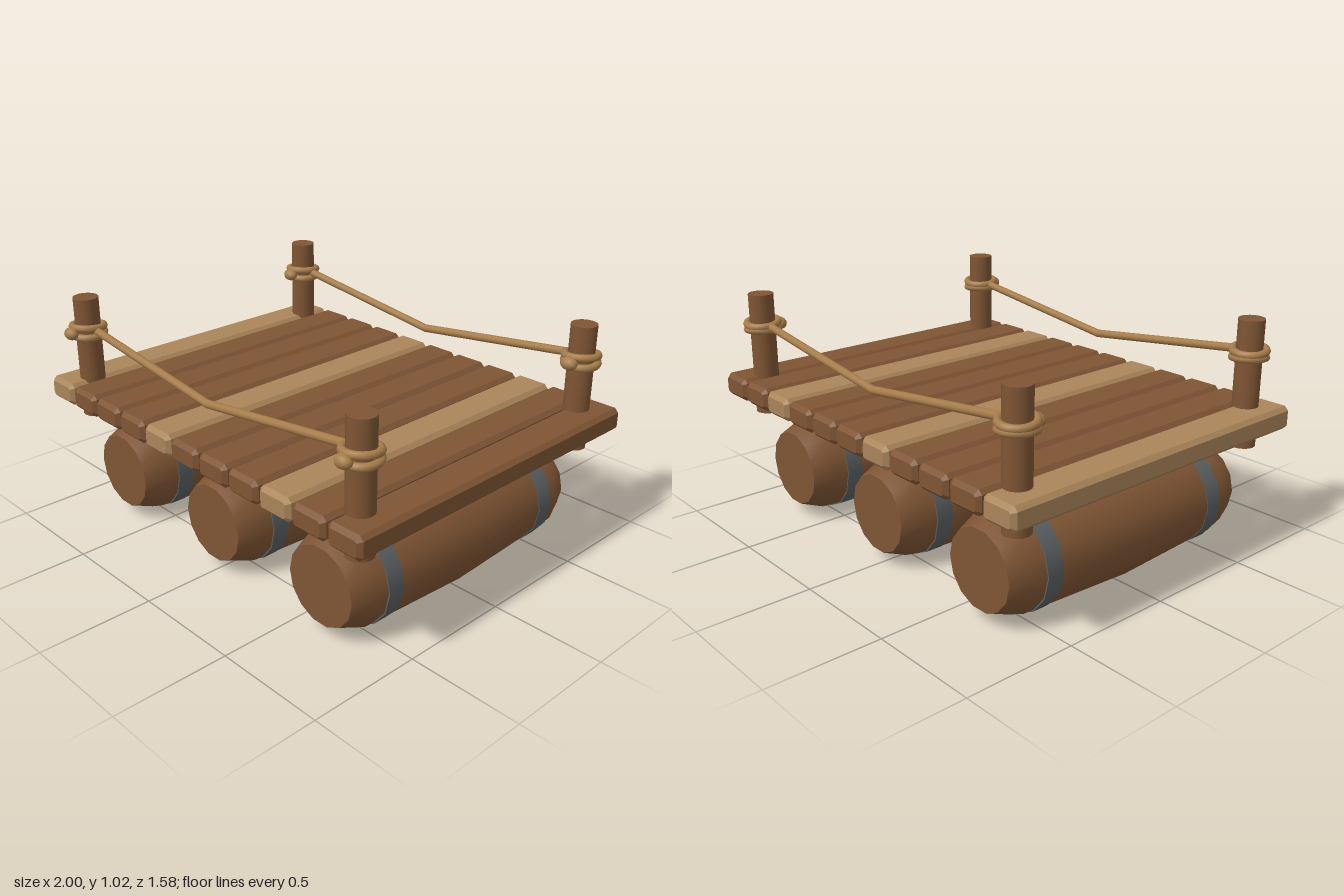
import * as THREE from 'three';

const material = (name, color, extra = {}) => {
  const m = new THREE.MeshStandardMaterial({ color, ...extra });
  m.name = name;
  return m;
};

export function createModel() {
  const wood = material('brown wood', 0x7f5534);
  const paleWood = material('pale wood', 0xaa855a);
  const ropeFibre = material('rope', 0xa67c4a);
  const iron = material('iron', 0x5b6062);

  const raft = new THREE.Group();
  raft.name = 'raft';
  const add = (parent, name, geometry, mat, x = 0, y = 0, z = 0) => {
    const mesh = new THREE.Mesh(geometry, mat);
    mesh.name = name;
    mesh.position.set(x, y, z);
    parent.add(mesh);
    return mesh;
  };

  // Deck planks: chamfered bars running front to back
  const w = 0.086, h = 0.0515, c = 0.018, length = 1.58;
  const section = new THREE.Shape([
    [w - c, -h], [w, -h + c], [w, h - c], [w - c, h],
    [-w + c, h], [-w, h - c], [-w, -h + c], [-w + c, -h],
  ].map(([x, y]) => new THREE.Vector2(x, y)));
  const plankGeo = new THREE.ExtrudeGeometry(section, {
    depth: length - 2 * c, bevelEnabled: true, bevelSegments: 1,
    bevelSize: c, bevelOffset: -c, bevelThickness: c,
  });
  plankGeo.translate(0, 0, -(length - 2 * c) / 2);
  for (let i = 0; i < 11; i++) {
    add(raft, 'plank', plankGeo, i % 4 === 0 ? paleWood : wood, (i - 5) * 0.1828, 0.5965, 0);
  }

  // Barrel floats: bulging staves, flat lids and two hoops each
  const sides = 14, ry = 0.238;
  const staves = new THREE.LatheGeometry(
    [[0.172, -0.657], [0.216, -0.549], [0.238, 0], [0.216, 0.549], [0.172, 0.657]]
      .map(([r, y]) => new THREE.Vector2(r, y)), sides, Math.PI / 2);
  staves.rotateX(Math.PI / 2);
  const lid = new THREE.CircleGeometry(0.172, sides);
  const hoop = new THREE.CylinderGeometry(0.2235, 0.2235, 0.08, sides, 1, false, Math.PI / 2);
  hoop.rotateX(Math.PI / 2);
  for (const x of [-0.66, 0, 0.66]) {
    const barrel = new THREE.Group();
    barrel.name = 'barrel';
    barrel.position.set(x, ry, 0);
    raft.add(barrel);
    add(barrel, 'staves', staves, wood);
    for (const s of [-1, 1]) {
      add(barrel, 'lid', lid, wood, 0, 0, s * 0.657).rotation.y = s > 0 ? 0 : Math.PI;
      add(barrel, 'hoop', hoop, iron, 0, 0, s * 0.466);
    }
  }

  // Corner posts, each with two slanted rope coils and a knot
  const postGeo = new THREE.CylinderGeometry(0.057, 0.057, 0.557, 16);
  const coilGeo = new THREE.TorusGeometry(0.07, 0.017, 8, 24);
  coilGeo.rotateX(Math.PI / 2);
  const knotGeo = new THREE.SphereGeometry(0.03, 12, 8);
  const px = 0.865, pz = 0.652;
  for (const sx of [-1, 1]) {
    for (const sz of [-1, 1]) {
      const x = sx * px, z = sz * pz;
      add(raft, 'post', postGeo, wood, x, 0.7485, z);
      add(raft, 'upperCoil', coilGeo, ropeFibre, x, 0.892, z).rotation.set(-0.08, 0, 0.06);
      add(raft, 'lowerCoil', coilGeo, ropeFibre, x, 0.862, z).rotation.set(0.06, 0, -0.08);
      add(raft, 'knot', knotGeo, ropeFibre, x, 0.874, z + 0.087).scale.set(1.3, 0.95, 1);
    }
  }

  // Sagging hand ropes: two straight halves meeting at a low point
  const end = new THREE.Vector3(0.8, 0.885, 0), low = new THREE.Vector3(0, 0.783, 0);
  const span = end.clone().sub(low);
  const halfGeo = new THREE.CylinderGeometry(0.018, 0.018, span.length(), 10);
  const jointGeo = new THREE.SphereGeometry(0.018, 10, 8);
  const middle = end.clone().add(low).multiplyScalar(0.5);
  const lean = Math.atan2(span.x, span.y);
  for (const sz of [-1, 1]) {
    for (const sx of [-1, 1]) {
      add(raft, 'handRope', halfGeo, ropeFibre, sx * middle.x, middle.y, sz * pz).rotation.z = -sx * lean;
    }
    add(raft, 'ropeBend', jointGeo, ropeFibre, 0, low.y, sz * pz);
  }

  return raft;
}
